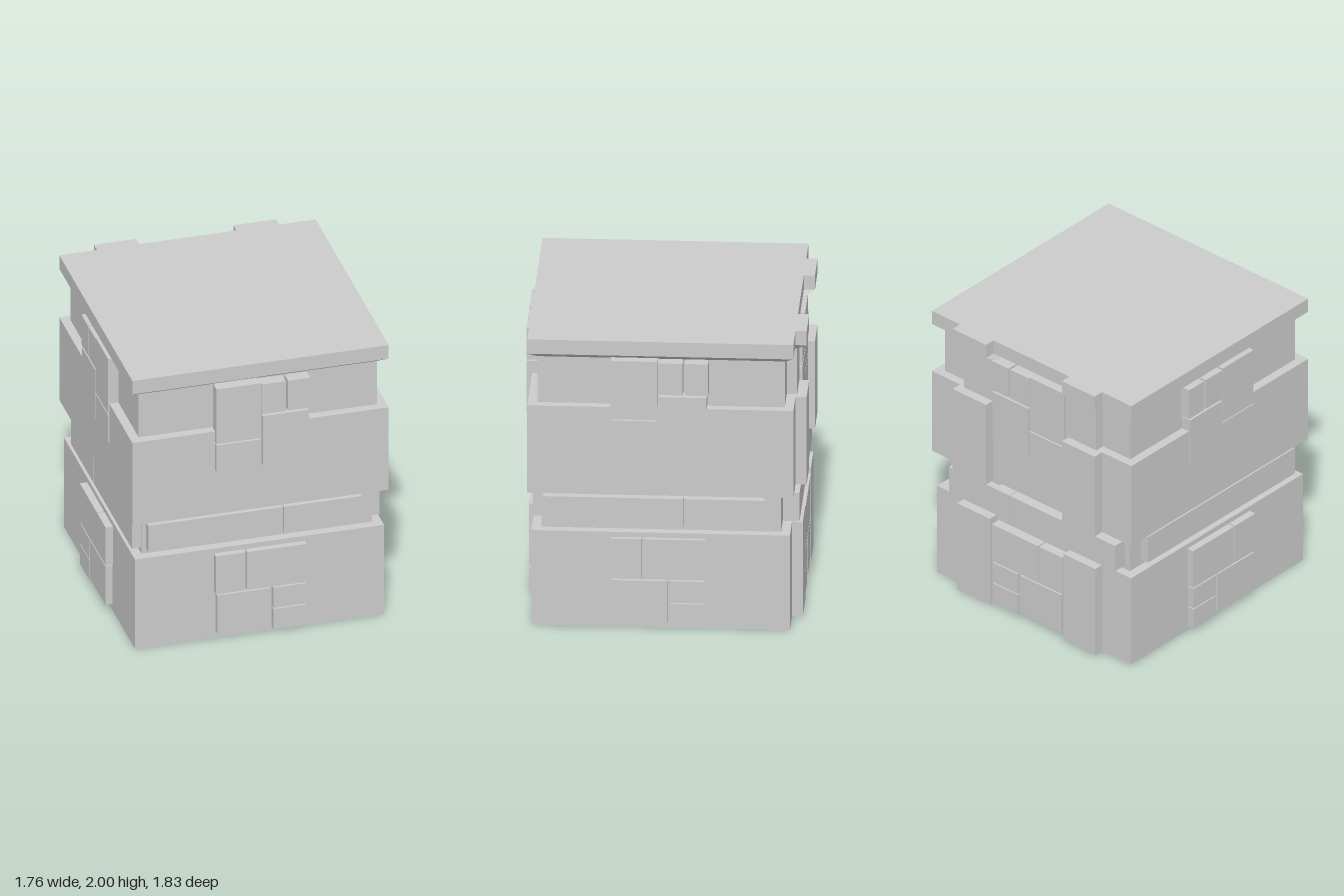
import * as THREE from 'three';

const material = new THREE.MeshStandardMaterial({ color: 0xcccccc, flatShading: true });

// Plan outline [x, z]: a square with two pilasters on the back
const OUTLINE = [
  [-0.86, 0.88], [0.86, 0.88], [0.86, -0.84], [0.617, -0.84], [0.617, -0.912], [0.328, -0.912],
  [0.328, -0.84], [-0.325, -0.84], [-0.325, -0.912], [-0.607, -0.912], [-0.607, -0.84], [-0.86, -0.84],
];

// Tiles and slabs [u0, u1, y0, y1], u running across a face
const UPPER = [
  [-0.305, -0.005, 1.465, 1.87], [-0.305, -0.005, 1.255, 1.455], [0, 0.16, 1.64, 1.86],
  [0.175, 0.325, 1.64, 1.86], [0.005, 0.315, 1.265, 1.625],
];
const LOWER = [
  [-0.305, -0.105, 0.345, 0.625], [-0.095, 0.303, 0.345, 0.625], [-0.295, 0.06, 0.05, 0.335],
  [0.08, 0.297, 0.185, 0.335], [0.08, 0.297, 0.03, 0.177],
];
const BAND = [[-0.745, 0.16, 0.7, 0.895], [0.165, 0.685, 0.7, 0.895]];

// Outer distance of each layer on the four faces
const FACES = {
  front: { axis: 'z', sign: 1, upper: 0.915, band: 0.853, lower: 0.9 },
  back: { axis: 'z', sign: -1, upper: 0.867, band: 0.87, lower: 0.885 },
  left: { axis: 'x', sign: 1, upper: 0.88, band: 0.828, lower: 0.865 },
  right: { axis: 'x', sign: -1, upper: 0.868, band: 0.835, lower: 0.885 },
};

// Storey extruded from the outline, with separate scales at bottom and top
function storey(name, y0, y1, bottomScale, topScale = bottomScale) {
  const shape = new THREE.Shape(OUTLINE.map(([x, z]) => new THREE.Vector2(x, -z)));
  const geometry = new THREE.ExtrudeGeometry(shape, { depth: y1 - y0, bevelEnabled: false });
  geometry.rotateX(-Math.PI / 2);
  const p = geometry.attributes.position;
  for (let i = 0; i < p.count; i++) {
    const top = p.getY(i) > (y1 - y0) / 2;
    const s = top ? topScale : bottomScale;
    p.setXYZ(i, p.getX(i) * s, top ? y1 : y0, p.getZ(i) * s);
  }
  geometry.computeVertexNormals();
  const mesh = new THREE.Mesh(geometry, material);
  mesh.name = name;
  return mesh;
}

// Panels set against one face
function panels(name, list, face, outer, depth) {
  const group = new THREE.Group();
  group.name = name;
  const mid = face.sign * (outer - depth / 2);
  for (const [u0, u1, y0, y1] of list) {
    const u = (u0 + u1) / 2, w = u1 - u0, h = y1 - y0, y = (y0 + y1) / 2;
    const onZ = face.axis === 'z';
    const mesh = new THREE.Mesh(new THREE.BoxGeometry(onZ ? w : depth, h, onZ ? depth : w), material);
    if (onZ) mesh.position.set(u, y, mid);
    else mesh.position.set(mid, y, 0.035 - u);
    mesh.name = name + 'Panel';
    group.add(mesh);
  }
  return group;
}

export function createModel() {
  const model = new THREE.Group();
  model.name = 'stonePillar';

  // Stacked storeys
  model.add(
    storey('baseBlock', 0, 0.66, 0.972),
    storey('lowerNeck', 0.66, 0.93, 0.9),
    storey('middleBlock', 0.93, 1.54, 1),
    storey('upperNeck', 1.54, 1.86, 0.93),
    storey('capTaper', 1.86, 1.9, 0.93, 1),
    storey('capSlab', 1.9, 2, 1),
  );

  // Stone facings on all four faces
  for (const [side, face] of Object.entries(FACES)) {
    model.add(
      panels(side + 'UpperTiles', UPPER, face, face.upper, 0.085),
      panels(side + 'BandSlabs', BAND, face, face.band, 0.1),
      panels(side + 'LowerTiles', LOWER, face, face.lower, 0.085),
    );
  }
  return model;
}
